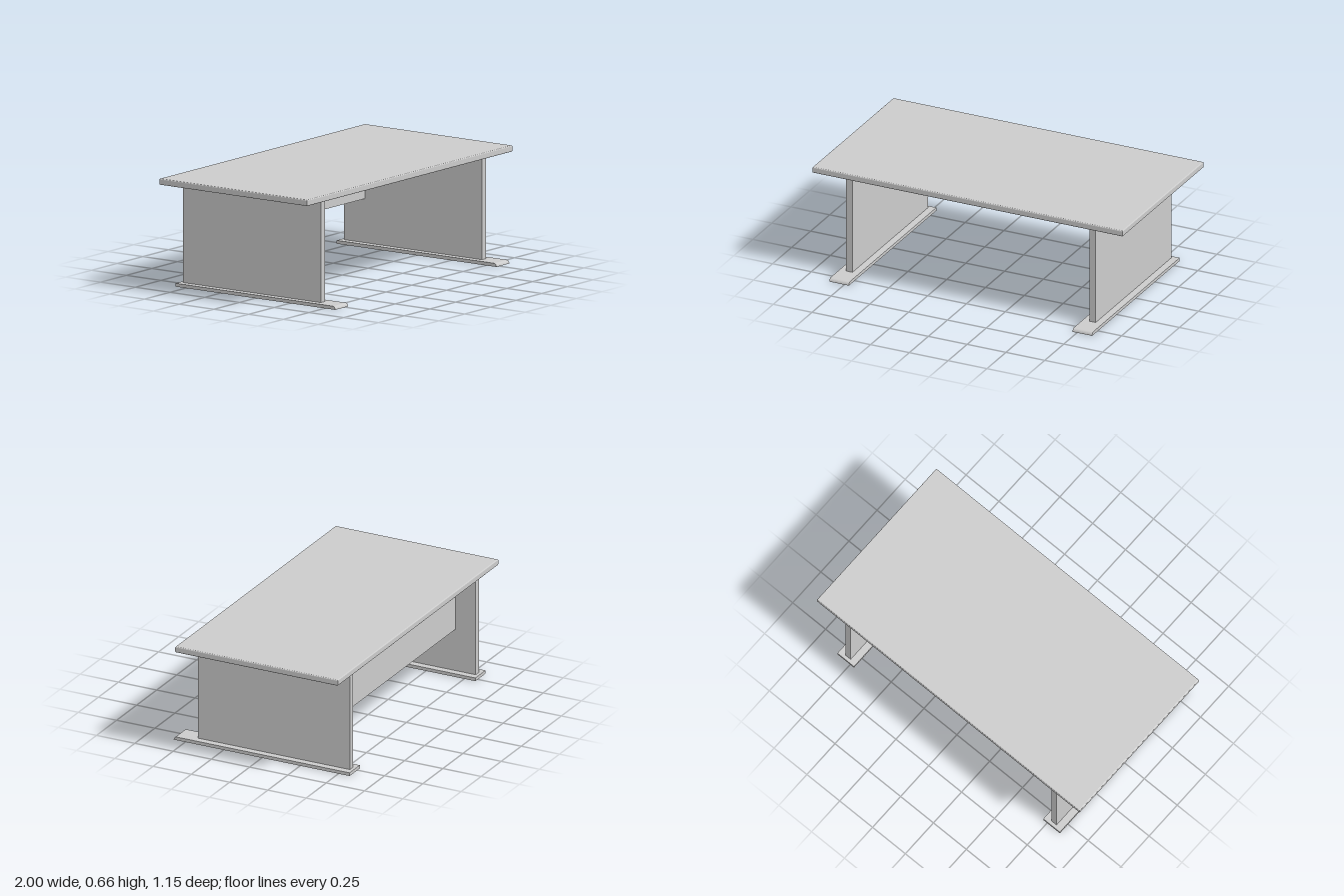
import * as THREE from 'three';

const material = new THREE.MeshStandardMaterial({ color: 0xcccccc });

function addMesh(parent, name, geometry) {
  const mesh = new THREE.Mesh(geometry, material);
  mesh.name = name;
  parent.add(mesh);
  return mesh;
}

// Box given by its lower and upper corners
function boxBetween([x0, y0, z0], [x1, y1, z1]) {
  return new THREE.BoxGeometry(x1 - x0, y1 - y0, z1 - z0)
    .translate((x0 + x1) / 2, (y0 + y1) / 2, (z0 + z1) / 2);
}

// Flat slab with softened edges all round
function tabletopGeometry() {
  const bevel = 0.006, bottom = 0.625, top = 0.662;
  const x = 1 - bevel, front = 0.486 - bevel, back = 0.576 - bevel;
  const shape = new THREE.Shape([
    new THREE.Vector2(-x, -front), new THREE.Vector2(x, -front),
    new THREE.Vector2(x, back), new THREE.Vector2(-x, back),
  ]);
  return new THREE.ExtrudeGeometry(shape, {
    depth: top - bottom - 2 * bevel,
    bevelThickness: bevel, bevelSize: bevel, bevelSegments: 3,
  }).rotateX(-Math.PI / 2).translate(0, bottom + bevel, 0);
}

// Floor runner: side profile with a rounded upper front edge
function footGeometry() {
  const width = 0.126, height = 0.02, front = 0.576, back = -0.573;
  const profile = new THREE.Shape();
  profile.moveTo(back, 0);
  profile.lineTo(front, 0);
  profile.absarc(front - height, 0, height, 0, Math.PI / 2, false);
  profile.lineTo(back, height);
  profile.closePath();
  return new THREE.ExtrudeGeometry(profile, {
    depth: width, bevelEnabled: false, curveSegments: 6,
  }).translate(0, 0, -width / 2).rotateY(-Math.PI / 2);
}

export function createModel() {
  const desk = new THREE.Group();
  desk.name = 'desk';

  addMesh(desk, 'tabletop', tabletopGeometry());
  addMesh(desk, 'modestyPanel', boxBetween([-0.765, 0.28, -0.42], [0.765, 0.625, -0.4]));

  // Panel leg on a floor runner at each end
  for (const [side, sign] of [['left', 1], ['right', -1]]) {
    const leg = new THREE.Group();
    leg.name = side + 'Leg';
    leg.position.x = sign * 0.784;
    addMesh(leg, side + 'LegPanel', boxBetween([-0.02, 0.02, -0.552], [0.02, 0.625, 0.441]));
    addMesh(leg, side + 'Foot', footGeometry());
    desk.add(leg);
  }
  return desk;
}
